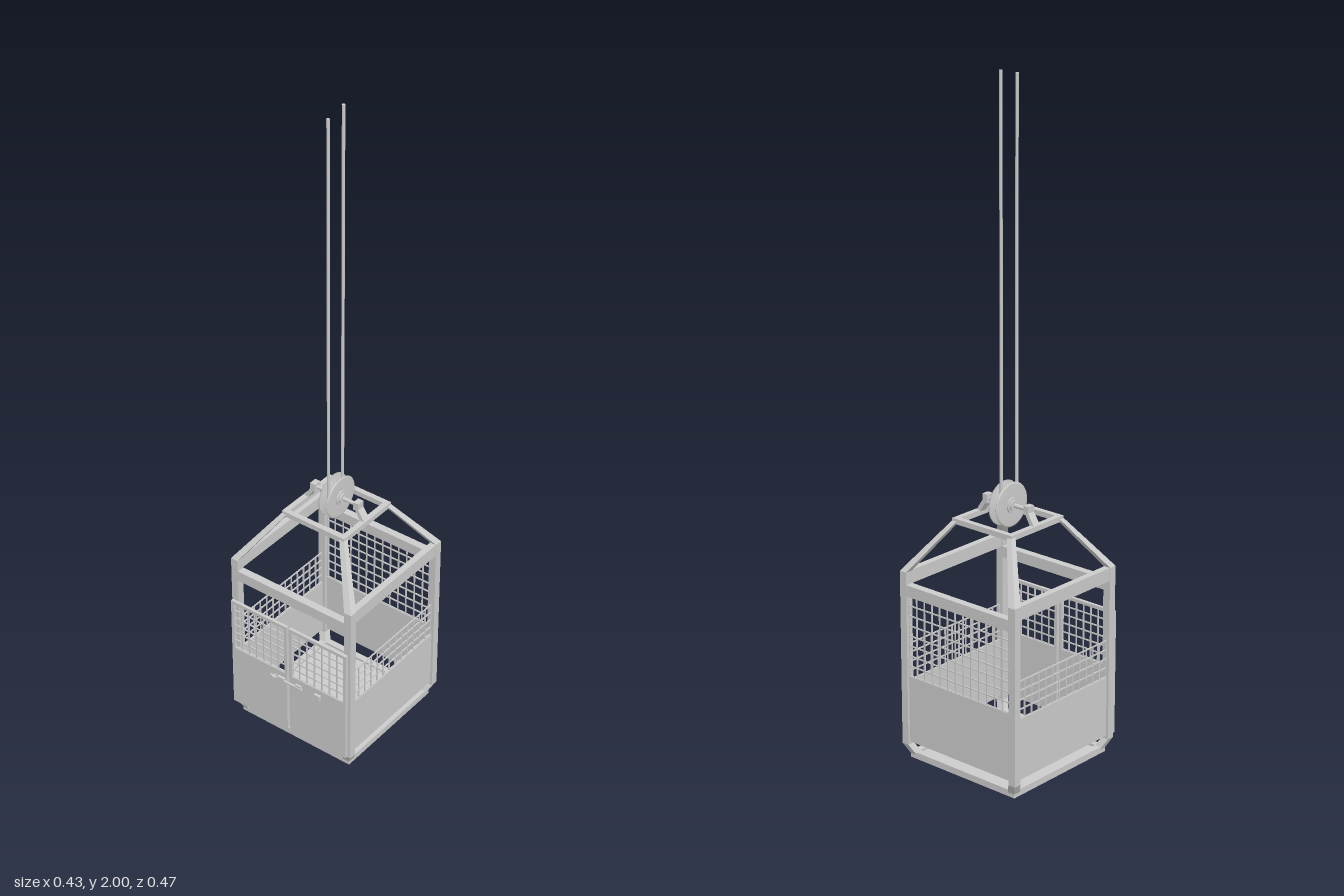
import * as THREE from 'three';
import { mergeGeometries } from 'three/addons/utils/BufferGeometryUtils.js';

const CZ = -0.0175; // cage centre in z

export function createModel() {
  const root = new THREE.Group();
  root.name = 'liftCage';
  const mat = new THREE.MeshStandardMaterial({ color: 0xcccccc });

  const add = (name, geo, parent = root) => {
    const m = new THREE.Mesh(geo, mat);
    m.name = name;
    parent.add(m);
    return m;
  };
  // box given by its min and max corners
  const boxGeo = (x0, x1, y0, y1, z0, z1) =>
    new THREE.BoxGeometry(x1 - x0, y1 - y0, z1 - z0)
      .translate((x0 + x1) / 2, (y0 + y1) / 2, (z0 + z1) / 2);
  const box = (name, ...b) => add(name, boxGeo(...b));

  // upright bar sheared from a lower to an upper rectangle
  const shearBar = (a, b, wa, wb) => {
    const g = new THREE.BoxGeometry(1, 1, 1);
    const p = g.attributes.position;
    for (let i = 0; i < p.count; i++) {
      const [c, w] = p.getY(i) > 0 ? [b, wb] : [a, wa];
      p.setXYZ(i, c[0] + p.getX(i) * w[0], c[1], c[2] + p.getZ(i) * w[1]);
    }
    g.computeVertexNormals();
    return g;
  };

  // wire mesh in a vertical plane; alongZ turns it to a side wall
  const wireMesh = (name, u0, u1, y0, y1, w, alongZ, step = 0.03) => {
    const t = 0.0018;
    const parts = [];
    const wire = (a, b, c, d) => parts.push(alongZ
      ? boxGeo(w - t, w + t, c, d, a, b)
      : boxGeo(a, b, c, d, w - t, w + t));
    const nu = Math.round((u1 - u0) / step);
    const ny = Math.round((y1 - y0) / step);
    for (let i = 0; i <= nu; i++) {
      const u = u0 + (u1 - u0) * i / nu;
      wire(u - t, u + t, y0, y1);
    }
    for (let j = 0; j <= ny; j++) {
      const y = y0 + (y1 - y0) * j / ny;
      wire(u0, u1, y - t, y + t);
    }
    add(name, mergeGeometries(parts));
  };

  // horizontal rectangular frame with a hole
  const frameGeo = (hx, hz, bar, y0, y1) => {
    const rect = (S, x, z) => new S([[-x, -z], [x, -z], [x, z], [-x, z]]
      .map(([a, b]) => new THREE.Vector2(a, b)));
    const s = rect(THREE.Shape, hx, hz);
    s.holes.push(rect(THREE.Path, hx - bar, hz - bar));
    return new THREE.ExtrudeGeometry(s, { depth: y1 - y0, bevelEnabled: false })
      .rotateX(-Math.PI / 2).translate(0, y0, CZ);
  };

  // floor and base frame
  box('floor', -0.2, 0.2, 0, 0.012, CZ - 0.2, CZ + 0.2);
  add('baseFrame', frameGeo(0.2, 0.2, 0.02, 0.006, 0.02));

  // corner posts: tapered foot, upright, sloping roof leg
  for (const sx of [-1, 1]) for (const sz of [-1, 1]) {
    const at = (r, y) => [sx * r, y, CZ + sz * r];
    const w = [0.024, 0.024];
    add('postFoot', shearBar(at(0.188, 0.012), at(0.2045, 0.045), w, w));
    add('post', shearBar(at(0.2045, 0.045), at(0.2045, 0.58), w, w));
    add('roofLeg', shearBar(at(0.2045, 0.58), at(0.103, 0.728), w, [0.017, 0.017]));
  }

  // side walls
  for (const s of [-1, 1]) {
    const x = s * 0.205;
    box('sideTopRail', x - 0.01, x + 0.01, 0.54, 0.58, CZ - 0.2, CZ + 0.2);
    box('sidePanel', x - 0.004, x + 0.004, 0.055, 0.24, CZ - 0.195, CZ + 0.195);
    wireMesh('sideMesh', CZ - 0.192, CZ + 0.192, 0.24, 0.353, x, true);
  }

  // front and back cross rails, back wall
  for (const s of [-1, 1]) {
    const z = CZ + s * 0.204;
    box('crossRail', -0.195, 0.195, 0.508, 0.542, z - 0.012, z + 0.012);
  }
  const zb = CZ - 0.206;
  box('backPanel', -0.195, 0.195, 0.055, 0.26, zb - 0.004, zb + 0.004);
  wireMesh('backMesh', -0.192, 0.192, 0.26, 0.508, zb, false);

  // pair of front doors
  const d0 = 0.203, d1 = 0.213, dm = 0.208;
  for (const s of [-1, 1]) {
    const a = Math.min(s * 0.004, s * 0.21), b = Math.max(s * 0.004, s * 0.21);
    box('doorPanel', a, b, 0.053, 0.262, d0, d1);
    box('doorTopRail', a, b, 0.426, 0.436, d0, d1);
    box('doorStile', a, a + 0.01, 0.262, 0.426, d0, d1);
    box('doorStile', b - 0.01, b, 0.262, 0.426, d0, d1);
    wireMesh('doorMesh', a + 0.008, b - 0.008, 0.262, 0.428, dm, false, 0.028);
  }

  // latch, its keepers and the knob
  box('latchKeeper', -0.035, -0.01, 0.228, 0.244, d1, 0.221);
  box('latchKeeper', 0.03, 0.05, 0.228, 0.244, d1, 0.219);
  box('doorStop', 0.1, 0.121, 0.228, 0.246, d1, 0.222);
  add('latchBar', new THREE.CylinderGeometry(0.004, 0.004, 0.115, 12)
    .rotateZ(Math.PI / 2).translate(-0.003, 0.235, 0.217));
  add('latchStem', new THREE.CylinderGeometry(0.0025, 0.0025, 0.014, 12)
    .rotateX(Math.PI / 2).translate(-0.044, 0.243, 0.222));
  add('latchKnob', new THREE.CylinderGeometry(0.006, 0.006, 0.006, 16)
    .rotateX(Math.PI / 2).translate(-0.044, 0.243, 0.23));

  // roof frame
  add('roofFrame', frameGeo(0.111, 0.111, 0.017, 0.72, 0.736));

  // pulley with axle and bearing arms
  const pulley = new THREE.Group();
  pulley.name = 'pulley';
  pulley.position.set(0, 0.775, CZ);
  root.add(pulley);
  const disc = (name, r, x0, x1) => add(name,
    new THREE.CylinderGeometry(r, r, x1 - x0, 40)
      .rotateZ(Math.PI / 2).translate((x0 + x1) / 2, 0, 0), pulley);
  disc('axle', 0.006, -0.085, 0.085);
  disc('hub', 0.016, -0.026, 0.026);
  disc('collar', 0.023, -0.021, 0.021);
  // grooved sheave turned around the axle
  const sheave = [[0.01, -0.016], [0.06, -0.017], [0.066, -0.014], [0.064, -0.011],
    [0.034, -0.009], [0.029, 0], [0.034, 0.009], [0.064, 0.011], [0.066, 0.014],
    [0.06, 0.017], [0.01, 0.016]].map(([r, x]) => new THREE.Vector2(r, x));
  add('sheave', new THREE.LatheGeometry(sheave, 48).rotateZ(Math.PI / 2), pulley);
  for (const s of [-1, 1]) {
    add('bearingArm', shearBar([s * 0.103, 0.73, CZ], [s * 0.078, 0.77, CZ],
      [0.016, 0.026], [0.014, 0.024]));
    box('bearing', s * 0.077 - 0.009, s * 0.077 + 0.009, 0.762, 0.788, CZ - 0.012, CZ + 0.012);
  }

  // rope: down, around the sheave, and up again
  const r = 0.0325, rz = -0.0125;
  const path = new THREE.CurvePath();
  const v = (y, z) => new THREE.Vector3(0, y, z);
  path.add(new THREE.LineCurve3(v(1.985, rz + r), v(0.775, rz + r)));
  const N = 16;
  for (let i = 0; i < N; i++) {
    const p = (k) => v(0.775 - r * Math.sin(Math.PI * k / N), rz + r * Math.cos(Math.PI * k / N));
    path.add(new THREE.LineCurve3(p(i), p(i + 1)));
  }
  path.add(new THREE.LineCurve3(v(0.775, rz - r), v(2, rz - r)));
  add('rope', new THREE.TubeGeometry(path, 400, 0.0048, 10, false));
  // rope ends
  for (const [y, z] of [[1.985, rz + r], [2, rz - r]])
    add('ropeEnd', new THREE.CircleGeometry(0.0048, 10).rotateX(-Math.PI / 2).translate(0, y, z));

  return root;
}
